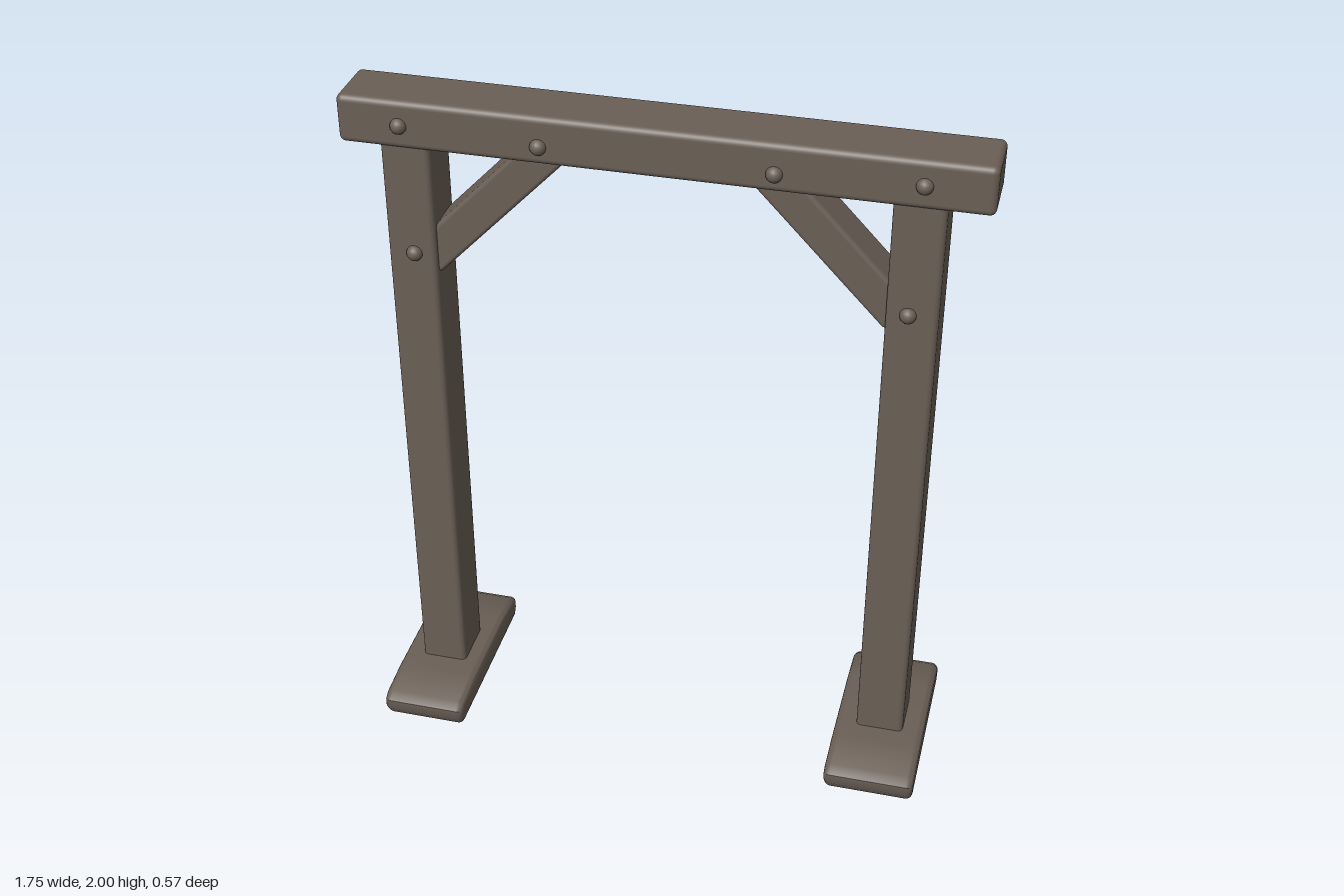
import * as THREE from 'three';
import { RoundedBoxGeometry } from 'three/addons/geometries/RoundedBoxGeometry.js';
import { toCreasedNormals } from 'three/addons/utils/BufferGeometryUtils.js';

export function createModel() {
  const model = new THREE.Group();
  model.name = 'timberFrame';
  const wood = new THREE.MeshStandardMaterial({ color: 0x6a5f56 });
  wood.name = 'weathered wood';

  const add = (name, geometry, x, y, z) => {
    const mesh = new THREE.Mesh(geometry, wood);
    mesh.name = name;
    mesh.position.set(x, y, z);
    model.add(mesh);
    return mesh;
  };
  const timber = (name, w, h, d, r, x, y, z = 0) =>
    add(name, new RoundedBoxGeometry(w, h, d, 3, r), x, y, z);

  // Foot: a flat plank with its top sloping down towards both ends
  const footGeometry = (width) => {
    const bevel = 0.02;
    const half = [[0.255, 0.02], [0.265, 0.035], [0.265, 0.05], [0.25, 0.06], [0.14, 0.07]];
    const points = [...half, ...half.map(([z, y]) => [-z, y]).reverse()];
    const shape = new THREE.Shape(points.map(([z, y]) => new THREE.Vector2(z, y)));
    const geometry = new THREE.ExtrudeGeometry(shape, {
      depth: width - 2 * bevel, bevelEnabled: true,
      bevelSize: bevel, bevelThickness: bevel, bevelSegments: 4,
    });
    geometry.translate(0, 0, bevel - width / 2);
    geometry.rotateY(Math.PI / 2);
    return toCreasedNormals(geometry, 0.8);
  };

  // Top beam
  timber('topBeam', 1.745, 0.137, 0.18, 0.018, 0, 1.9315);

  // Each side: post, foot and diagonal brace, with slight handmade offsets
  const sides = [
    { name: 'left', s: 1, post: 0.682, postW: 0.14, foot: 0.682, footW: 0.265, inner: 0.61, top: 0.315, footY: 0.006 },
    { name: 'right', s: -1, post: -0.692, postW: 0.137, foot: -0.695, footW: 0.25, inner: 0.622, top: 0.325, footY: 0 },
  ];
  for (const p of sides) {
    timber(p.name + 'Post', p.postW, 1.85, 0.163, 0.016, p.post, 0.965);
    add(p.name + 'Foot', footGeometry(p.footW), p.foot, p.footY, 0);

    const a = new THREE.Vector2(p.s * p.inner, 1.555);
    const b = new THREE.Vector2(p.s * p.top, 1.865);
    const brace = timber(p.name + 'Brace', 0.106, a.distanceTo(b) + 0.11, 0.125, 0.012,
      (a.x + b.x) / 2, (a.y + b.y) / 2);
    brace.rotation.z = Math.atan2(a.x - b.x, b.y - a.y);
  }

  // Domed pegs on front and back: x, y, surface depth
  const pegGeometry = new THREE.SphereGeometry(0.023, 16, 10);
  const pegs = [
    [-0.70, 1.93, 0.088], [-0.318, 1.915, 0.088], [0.307, 1.915, 0.088], [0.69, 1.93, 0.088],
    [-0.685, 1.545, 0.08], [0.672, 1.545, 0.08],
  ];
  for (const [x, y, z] of pegs) {
    add('frontPeg', pegGeometry, x, y, z);
    add('backPeg', pegGeometry, x, y, -z);
  }
  return model;
}
